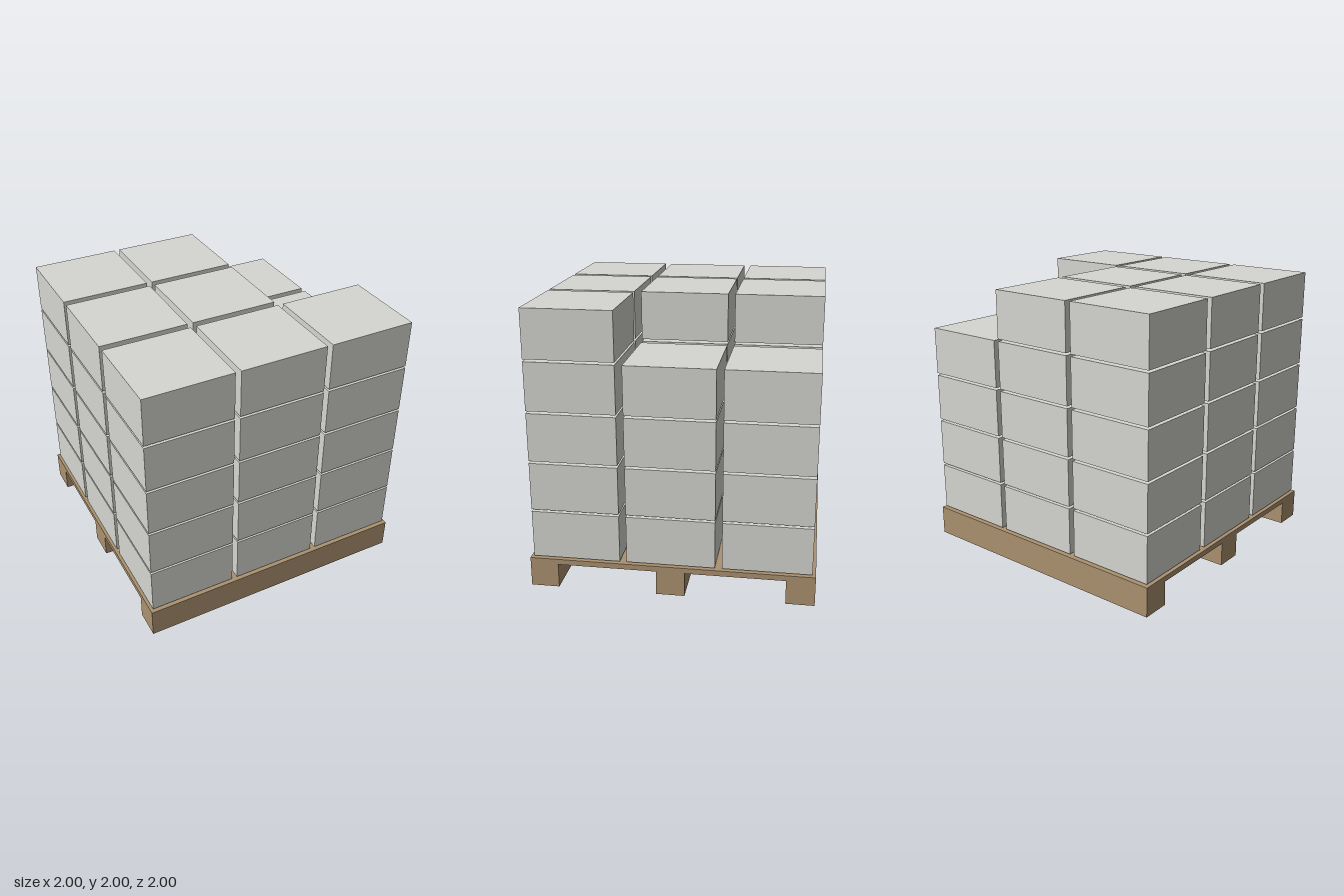
import * as THREE from 'three';

export function createModel() {
  const group = new THREE.Group();
  const wood = new THREE.MeshStandardMaterial({ color: 0xab9270 });
  const card = new THREE.MeshStandardMaterial({ color: 0xd6d7d1 });

  // Adds a box standing on height y
  function addBox(parent, name, material, [w, h, d], [x, y, z]) {
    const mesh = new THREE.Mesh(new THREE.BoxGeometry(w, h, d), material);
    mesh.name = name;
    mesh.position.set(x, y + h / 2, z);
    parent.add(mesh);
  }

  // Pallet: one deck on three runners
  const pallet = new THREE.Group();
  pallet.name = 'pallet';
  group.add(pallet);
  const deckBottom = 0.175;
  addBox(pallet, 'deck', wood, [2, 0.04, 2], [0, deckBottom, 0]);
  for (const z of [-0.9, 0, 0.9]) {
    addBox(pallet, 'runner', wood, [2, deckBottom, 0.2], [0, 0, z]);
  }

  // Cartons: 3 x 3 stacks, five high except two shorter stacks at the back of the +x side
  const cartons = new THREE.Group();
  cartons.name = 'cartons';
  group.add(cartons);
  const pitch = 0.667, layerPitch = 0.3585;
  for (let i = -1; i <= 1; i++) {
    for (let k = -1; k <= 1; k++) {
      const layers = i === 1 && k < 1 ? 4 : 5;
      for (let j = 0; j < layers; j++) {
        addBox(cartons, 'carton', card, [0.627, 0.342, 0.618],
          [i * pitch, 0.224 + j * layerPitch, k * pitch]);
      }
    }
  }
  return group;
}
